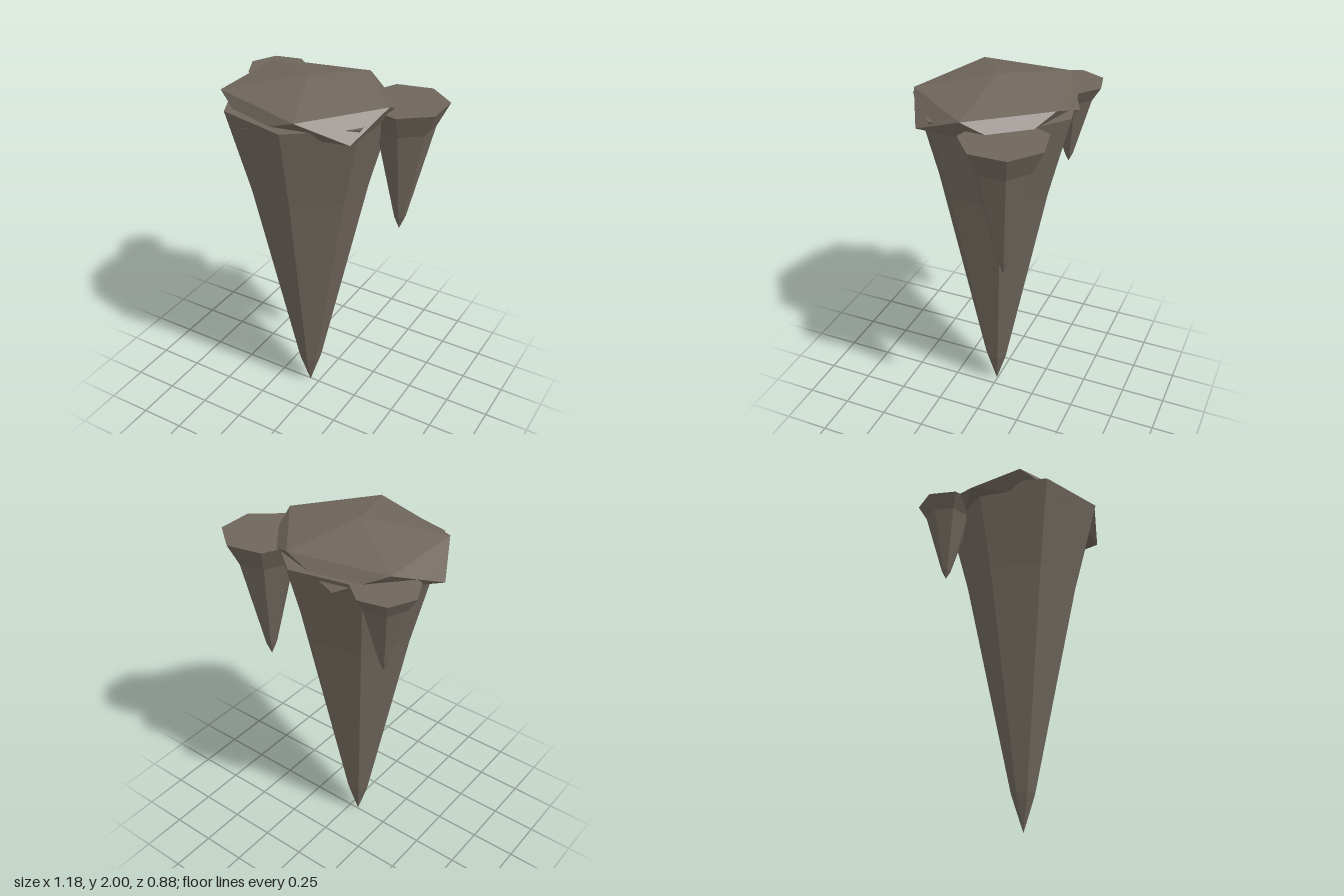
import * as THREE from 'three';

const TOP = 1.87;

// Seven-sided hanging spike with a flat top; profile is [radius, y] from the tip up
function spike(name, x, z, profile, material) {
  const points = [...profile, [0, TOP]].map(([r, y]) => new THREE.Vector2(r, y));
  const mesh = new THREE.Mesh(new THREE.LatheGeometry(points, 7, -Math.PI / 2), material);
  mesh.name = name;
  mesh.position.set(x, 0, z);
  return mesh;
}

// Flattened, slightly irregular twenty-sided boulder: two staggered rings and two poles
function capGeometry() {
  const upper = [[0.4, 0.005], [0.1, 0.4], [-0.43, 0.24], [-0.43, -0.255], [0.1, -0.37]]
    .map(([x, z]) => [x, 1.923, z]);
  const lower = [[0.335, 0.275], [-0.195, 0.375], [-0.56, 0.005], [-0.195, -0.395], [0.35, -0.235]]
    .map(([x, z]) => [x, 1.815, z]);
  const top = [-0.055, 2, 0.005], bottom = [-0.055, 1.74, 0.005];
  const corners = [];
  for (let i = 0; i < 5; i++) {
    const j = (i + 1) % 5;
    corners.push(
      top, upper[j], upper[i],
      upper[j], lower[i], upper[i],
      lower[i], upper[j], lower[j],
      bottom, lower[i], lower[j]
    );
  }
  const geometry = new THREE.BufferGeometry();
  geometry.setAttribute('position', new THREE.Float32BufferAttribute(corners.flat(), 3));
  geometry.computeVertexNormals();
  return geometry;
}

export function createModel() {
  const model = new THREE.Group();
  model.name = 'stalactite';
  const rock = new THREE.MeshStandardMaterial({ color: 0x6f665c, flatShading: true });
  rock.name = 'brown grey rock';

  // Hanging spikes, all sharing the same ceiling height
  model.add(
    spike('mainSpike', -0.055, 0.005, [[0, 0], [0.065, 0.2], [0.32, 1.4], [0.445, TOP]], rock),
    spike('leftSpike', 0.385, -0.215, [[0, 1.12], [0.033, 1.2], [0.16, 1.74], [0.225, TOP]], rock),
    spike('rightSpike', -0.415, -0.275, [[0, 1.4], [0.025, 1.45], [0.125, 1.79], [0.175, TOP]], rock)
  );

  // Boulder at the root
  const cap = new THREE.Mesh(capGeometry(), rock);
  cap.name = 'rootBoulder';
  model.add(cap);
  return model;
}
